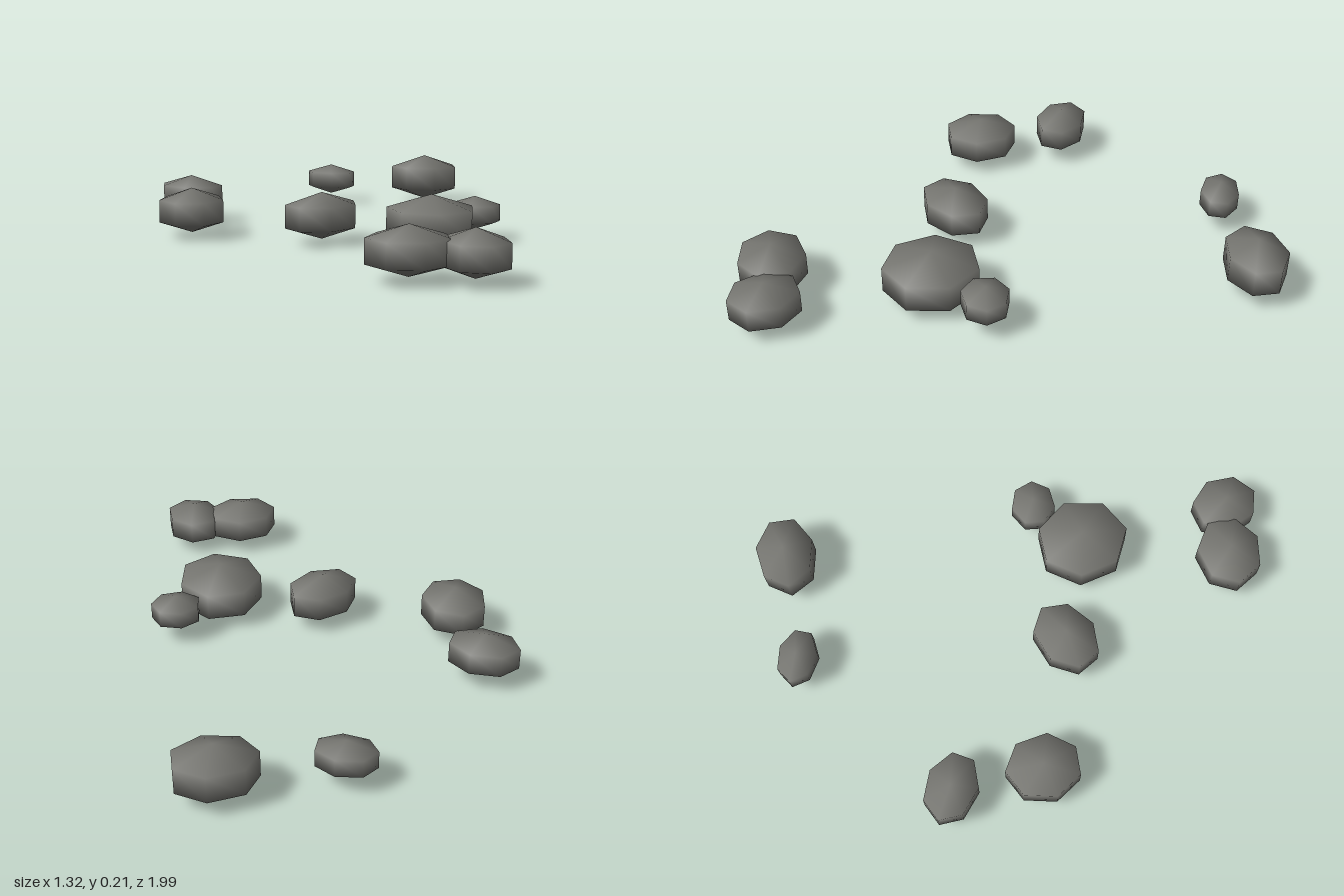
import * as THREE from 'three';

// Each stone: centre x, y, z, half length, half height, half width, direction of its long axis in degrees
const STONES = [
  [0.05, 0.105, -0.875, 0.125, 0.065, 0.086, -161],
  [0.477, 0.112, -0.887, 0.171, 0.098, 0.131, 179],
  [-0.539, 0.11, -0.351, 0.155, 0.08, 0.114, -152],
  [-0.507, 0.1, -0.005, 0.166, 0.086, 0.144, -91],
  [-0.011, 0.103, 0.153, 0.168, 0.088, 0.13, -33],
  [0.384, 0.1, 0.277, 0.206, 0.1, 0.188, 86],
  [0.566, 0.105, 0.106, 0.11, 0.063, 0.101, 4],
  [0.253, 0.103, 0.842, 0.165, 0.086, 0.144, 175],
  [0.462, 0.098, 0.865, 0.15, 0.083, 0.13, 75],
];

export function createModel() {
  const group = new THREE.Group();
  group.name = 'scatteredStones';
  const stoneGrey = new THREE.MeshStandardMaterial({ color: 0x757570 });
  stoneGrey.name = 'stoneGrey';

  // Coarse seven-sided pebble with smooth normals, shared by all stones
  const pebble = new THREE.SphereGeometry(1, 7, 3);

  STONES.forEach(([x, y, z, length, height, width, angle], i) => {
    const stone = new THREE.Mesh(pebble, stoneGrey);
    stone.name = `stone${i + 1}`;
    stone.position.set(x, y, z);
    stone.scale.set(length, height, width);
    stone.rotation.y = Math.PI - THREE.MathUtils.degToRad(angle);
    group.add(stone);
  });
  return group;
}
